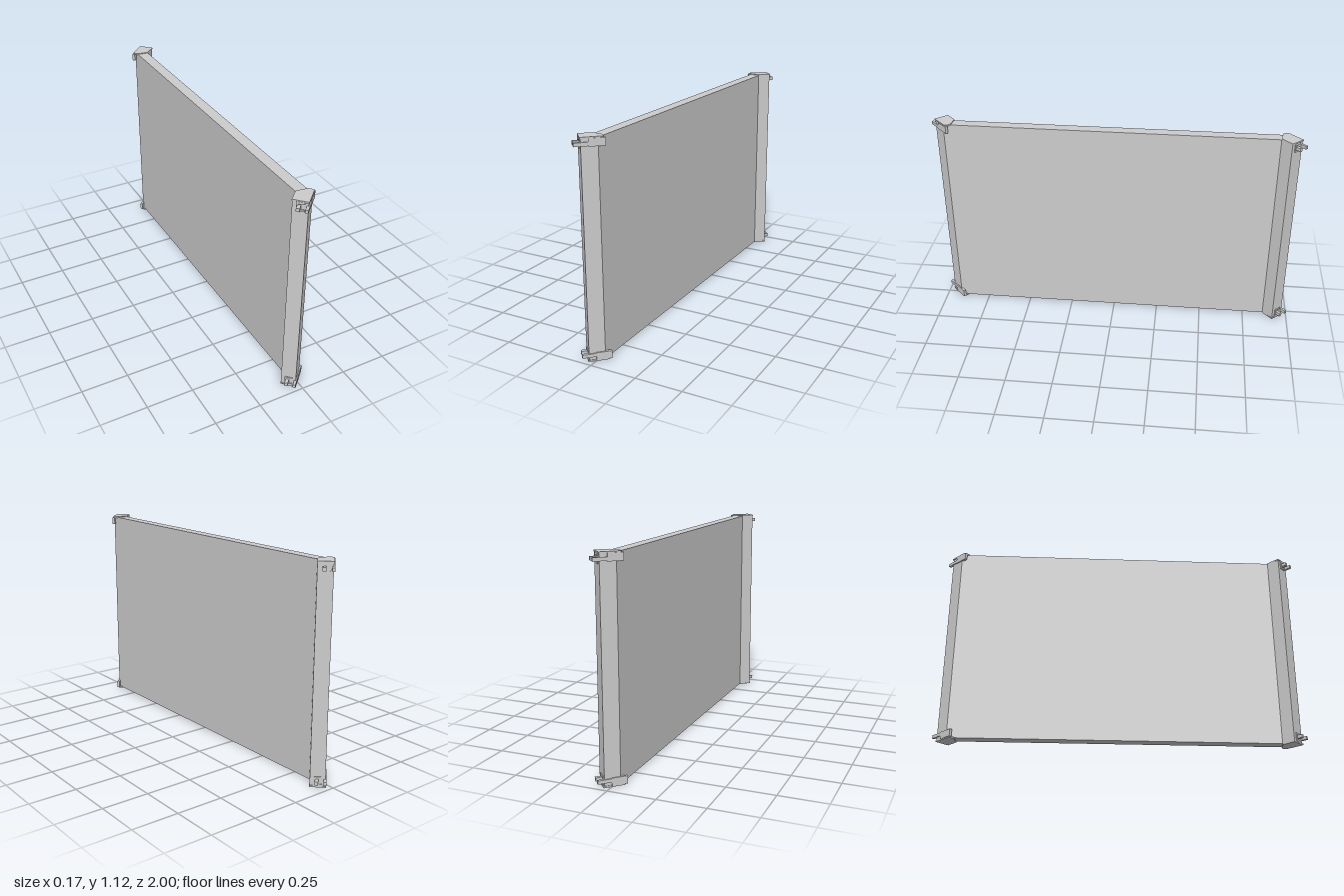
import * as THREE from 'three';

const H = 1.12;
const material = new THREE.MeshStandardMaterial({ color: 0xcccccc, flatShading: true });

// Upright prism from a plan outline of [x, z] points
function prism(name, plan, y0, y1) {
  const shape = new THREE.Shape(plan.map(([x, z]) => new THREE.Vector2(x, -z)));
  const geo = new THREE.ExtrudeGeometry(shape, { depth: y1 - y0, bevelEnabled: false });
  geo.rotateX(-Math.PI / 2).translate(0, y0, 0);
  const mesh = new THREE.Mesh(geo, material);
  mesh.name = name;
  return mesh;
}

// Box given by its ranges: u outward along the bent end, v across it
function block(name, u0, u1, y0, y1, v0, v1) {
  const mesh = new THREE.Mesh(new THREE.BoxGeometry(u1 - u0, y1 - y0, v1 - v0), material);
  mesh.position.set((u0 + u1) / 2, (y0 + y1) / 2, -(v0 + v1) / 2);
  mesh.name = name;
  return mesh;
}

// One connector at the top or bottom of a bent end
function connector(top) {
  const g = new THREE.Group();
  g.name = top ? 'topConnector' : 'bottomConnector';
  g.rotation.y = -Math.PI * 0.75;
  const add = (name, u0, u1, y0, y1, v0, v1) =>
    g.add(top ? block(name, u0, u1, H - y1, H - y0, v0, v1) : block(name, u0, u1, y0, y1, v0, v1));
  // Strap on the outer face, narrowing to a prong
  add('strap', 0.592, 0.67, 0.006, 0.045, 0.66, 0.674);
  add('strapProng', 0.67, 0.74, 0.024, 0.042, 0.66, 0.674);
  // C-shaped bracket on the end face with its own prong
  add('bracketBack', 0.7, 0.711, 0.006, 0.056, 0.612, 0.622);
  add('bracketArm', 0.7, 0.711, 0.006, 0.018, 0.622, 0.652);
  add('bracketArm', 0.7, 0.711, 0.046, 0.056, 0.622, 0.652);
  add('endProng', 0.7, 0.738, 0.024, 0.042, 0.617, 0.634);
  return g;
}

// Bent end with caps and connectors, at the front
function bentEnd(name) {
  const g = new THREE.Group();
  g.name = name;
  const cap = [[-0.03, 0.868], [-0.083, 0.918], [-0.028, 0.978], [0.047, 0.903], [0.044, 0.889], [0.03, 0.875]];
  g.add(prism('bottomCap', cap, 0, 0.008), prism('topCap', cap, H - 0.008, H));
  g.add(connector(false), connector(true));
  return g;
}

export function createModel() {
  const model = new THREE.Group();
  model.name = 'wallPanel';

  // Flat panel whose ends bend 45 degrees in opposite directions
  const half = [[0.03, 0.915], [-0.027, 0.972], [-0.08, 0.918], [-0.03, 0.866]];
  const plan = [...half, ...half.map(([x, z]) => [-x, -z])];
  model.add(prism('panel', plan, 0.005, H - 0.005));

  // The back end is the front end turned half round
  const back = bentEnd('backEnd');
  back.rotation.y = Math.PI;
  model.add(bentEnd('frontEnd'), back);
  return model;
}
